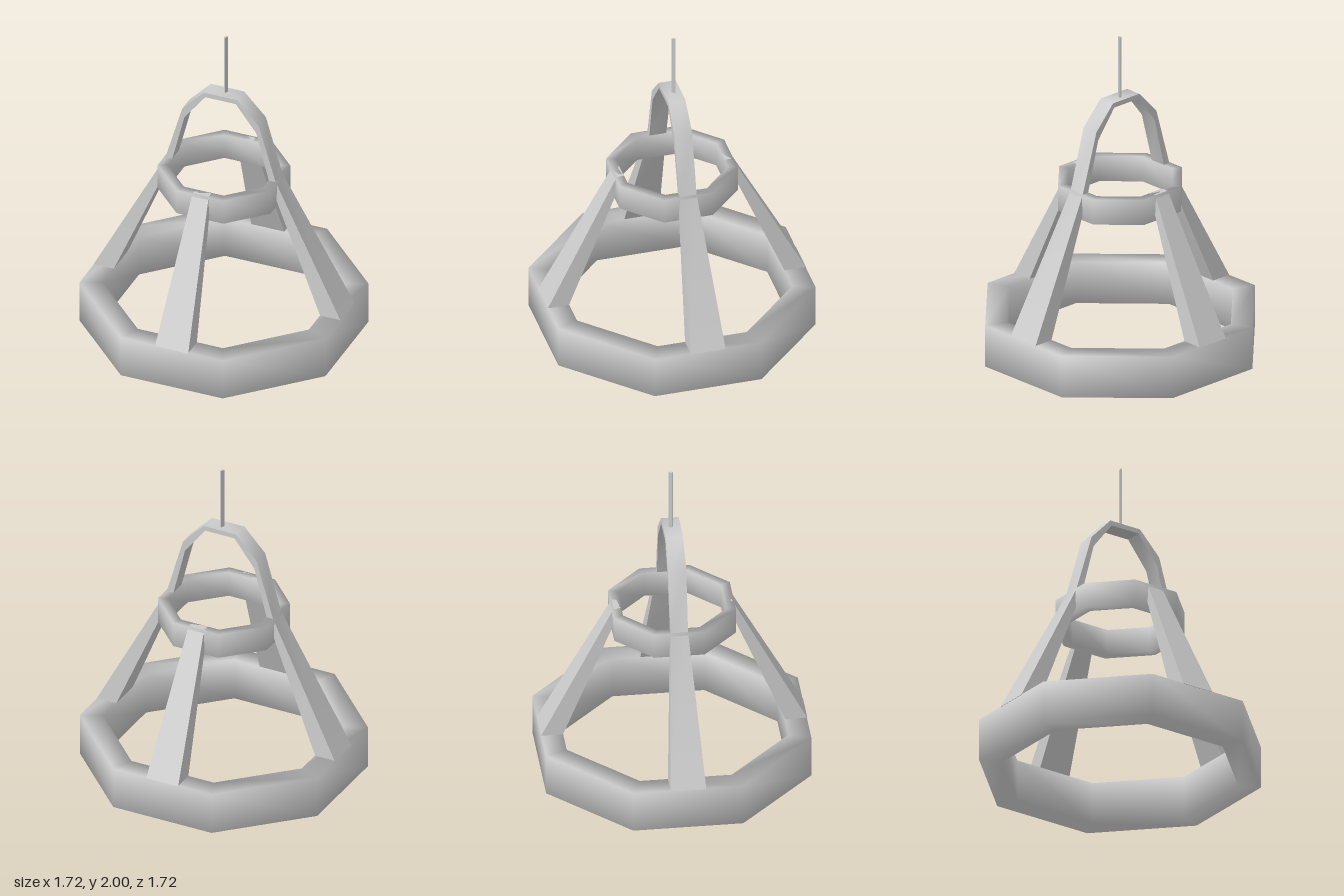
import * as THREE from 'three';
import { mergeVertices, toCreasedNormals } from 'three/addons/utils/BufferGeometryUtils.js';

const material = new THREE.MeshStandardMaterial({ color: 0xcccccc });

function addMesh(parent, geometry, name) {
  const mesh = new THREE.Mesh(geometry, material);
  mesh.name = name;
  parent.add(mesh);
  return mesh;
}

// Eight-sided ring with a rectangular section and soft shading
function ringGeometry(inner, outer, bottom, top) {
  const profile = [[inner, bottom], [outer, bottom], [outer, top], [inner, top], [inner, bottom]];
  let geometry = new THREE.LatheGeometry(profile.map(([r, y]) => new THREE.Vector2(r, y)), 8);
  geometry.deleteAttribute('normal');
  geometry.deleteAttribute('uv');
  geometry = mergeVertices(geometry, 1e-4);
  geometry.computeVertexNormals();
  return geometry;
}

// Four-sided bar through sections [outerX, outerY, innerX, innerY, halfWidth]
function barGeometry(sections) {
  const positions = [];
  const index = [];
  sections.forEach(([ox, oy, ix, iy, h], s) => {
    positions.push(ox, oy, h, ox, oy, -h, ix, iy, -h, ix, iy, h);
    if (s === sections.length - 1) return;
    for (let k = 0; k < 4; k++) {
      const a = s * 4 + k;
      const b = s * 4 + (k + 1) % 4;
      index.push(a, b, b + 4, a, b + 4, a + 4);
    }
  });
  const e = (sections.length - 1) * 4;
  index.push(0, 2, 1, 0, 3, 2, e, e + 1, e + 2, e, e + 2, e + 3);
  const geometry = new THREE.BufferGeometry();
  geometry.setAttribute('position', new THREE.Float32BufferAttribute(positions, 3));
  geometry.setIndex(index);
  return toCreasedNormals(geometry, Math.PI * 0.28);
}

export function createModel() {
  const model = new THREE.Group();
  model.name = 'hangingFrame';

  addMesh(model, ringGeometry(0.72, 0.86, 0, 0.265), 'baseRing');
  addMesh(model, ringGeometry(0.335, 0.395, 0.935, 1.095), 'upperRing');

  // Tapered leg from the base ring to the upper ring
  const leg = [
    [0.798, 0.262, 0.667, 0.262, 0.107],
    [0.356, 1.095, 0.312, 1.095, 0.052],
  ];

  // Two opposite legs continue upward and meet in an arch
  const half = [
    ...leg,
    [0.247, 1.465, 0.232, 1.41, 0.055],
    [0.108, 1.612, 0.098, 1.582, 0.053],
  ];
  const mirrored = half.map(([ox, oy, ix, iy, h]) => [-ox, oy, -ix, iy, h]).reverse();
  const arch = addMesh(model, barGeometry([...half, ...mirrored]), 'archLegs');
  arch.rotation.y = Math.PI / 8;

  // The other two legs stop at the upper ring
  const legGeometry = barGeometry(leg);
  ['backLeg', 'frontLeg'].forEach((name, i) => {
    addMesh(model, legGeometry, name).rotation.y = Math.PI * (5 / 8 + i);
  });

  // Thin hanging rod on top of the arch
  const rod = addMesh(model, new THREE.BoxGeometry(0.012, 0.41, 0.024), 'hangingRod');
  rod.position.set(0.006, 1.795, -0.01);

  return model;
}
